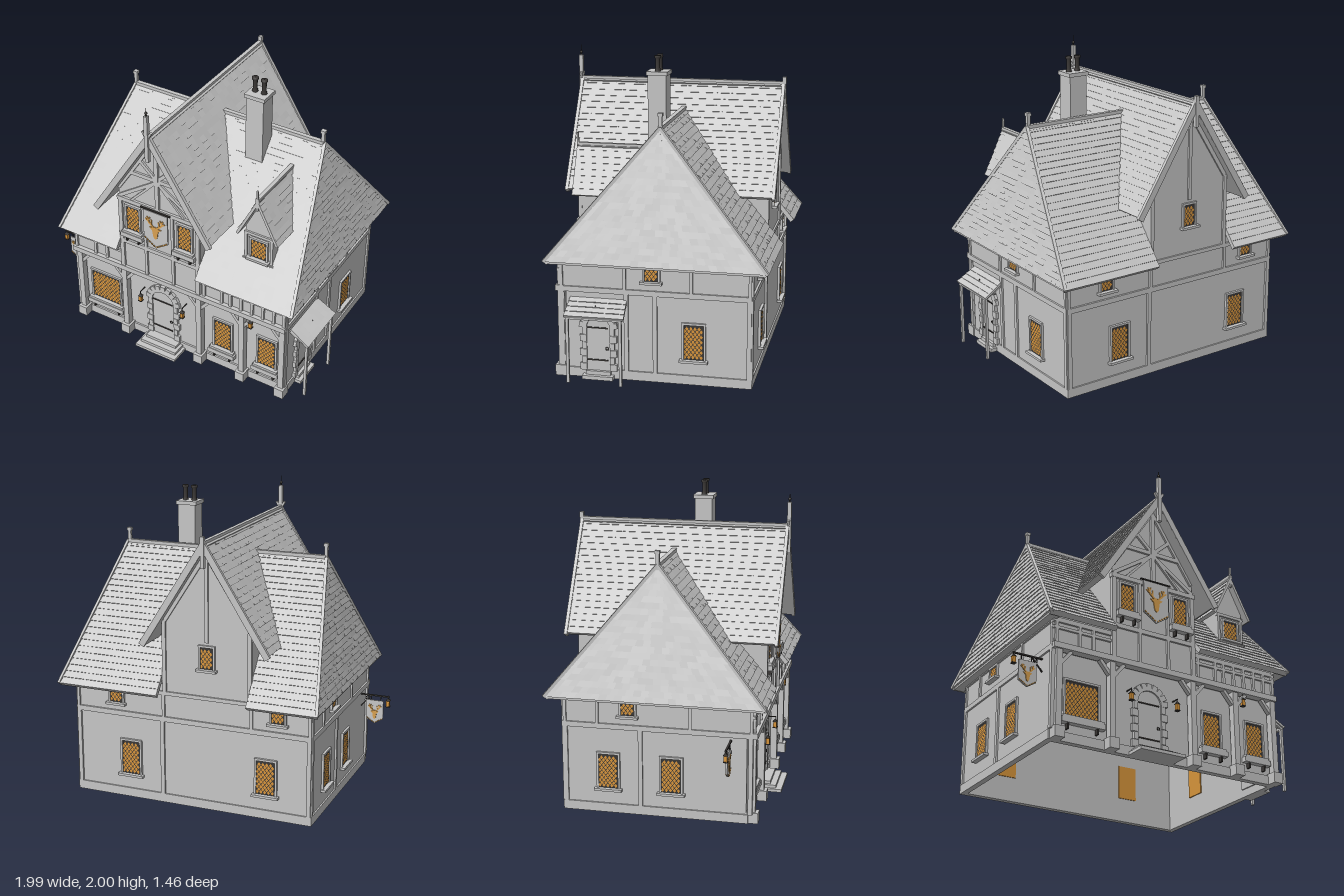
import * as THREE from 'three';

const mat = (name, color, side = THREE.FrontSide) => {
  const m = new THREE.MeshStandardMaterial({ color, side });
  m.name = name;
  return m;
};

export function createModel() {
  const stone = mat('pale grey', 0xc6c6c6), iron = mat('dark iron', 0x3a3735);
  const amber = mat('amber glass', 0xd9963c), gold = mat('gold', 0xd8a050);
  const V = (x, y, z) => new THREE.Vector3(x, y, z);
  const model = new THREE.Group();
  model.name = 'timberedInn';
  let seed = 7;
  const rand = () => (seed = (seed * 16807) % 2147483647) / 2147483647;

  // ---- helpers ----
  const add = (p, name, geo, m = stone, x = 0, y = 0, z = 0) => {
    const o = new THREE.Mesh(geo, m);
    o.name = name;
    o.position.set(x, y, z);
    p.add(o);
    return o;
  };
  const group = (p, name, x = 0, y = 0, z = 0, ry = 0) => {
    const g = new THREE.Group();
    g.name = name;
    g.position.set(x, y, z);
    g.rotation.y = ry;
    p.add(g);
    return g;
  };
  // box given by its limits
  const box = (p, name, x0, x1, y0, y1, z0, z1, m) =>
    add(p, name, new THREE.BoxGeometry(x1 - x0, y1 - y0, z1 - z0), m, (x0 + x1) / 2, (y0 + y1) / 2, (z0 + z1) / 2);
  // flat bar between two points of a wall, standing out by d
  const bar = (p, name, x0, y0, x1, y1, w, d = 0.024, m = stone, z = 0) => {
    const o = add(p, name, new THREE.BoxGeometry(Math.hypot(x1 - x0, y1 - y0), w, d), m, (x0 + x1) / 2, (y0 + y1) / 2, z);
    o.rotation.z = Math.atan2(y1 - y0, x1 - x0);
    return o;
  };
  // beam between two points in space
  const beam = (p, name, a, b, w, h, m = stone) => {
    const o = new THREE.Mesh(new THREE.BoxGeometry(w, h, a.distanceTo(b)), m);
    o.name = name;
    o.position.copy(a).lerp(b, 0.5);
    o.lookAt(b);
    p.add(o);
  };
  const outline = pts => new THREE.Shape(pts.map(q => new THREE.Vector2(q[0], q[1])));
  const extrude = (shape, depth) => new THREE.ExtrudeGeometry(shape, { depth, bevelEnabled: false, curveSegments: 10 });
  const fromQuads = quads => {
    const pos = [];
    for (const [a, b, c, d] of quads) for (const v of [a, b, c, a, c, d]) pos.push(v.x, v.y, v.z);
    const g = new THREE.BufferGeometry();
    g.setAttribute('position', new THREE.Float32BufferAttribute(pos, 3));
    g.computeVertexNormals();
    return g;
  };
  // roof slope: board with rows of lifted tiles; eave left, eave right, ridge right, ridge left
  const slope = (p, name, A, B, C, D, rows, thick = 0.03) => {
    const n = B.clone().sub(A).cross(D.clone().sub(A)).normalize();
    const [a, b, c, d] = [A, B, C, D].map(v => v.clone().addScaledVector(n, -thick));
    add(p, name, fromQuads([[A, B, C, D], [d, c, b, a], [a, b, B, A], [b, c, C, B], [c, d, D, C], [d, a, A, D]]));
    const quads = [];
    for (let i = 0; i < rows; i++) {
      const L0 = A.clone().lerp(D, i / rows), L1 = A.clone().lerp(D, (i + 1) / rows);
      const R0 = B.clone().lerp(C, i / rows), R1 = B.clone().lerp(C, (i + 1) / rows);
      const count = Math.max(1, Math.round(L0.distanceTo(R0) / 0.05));
      for (let k = 0; k < count; k++) {
        const s = k / count, e = (k + 1) / count, lift = 0.004 + 0.004 * rand();
        const q0 = L0.clone().lerp(R0, s), q1 = L0.clone().lerp(R0, e);
        const t0 = q0.clone().addScaledVector(n, lift), t1 = q1.clone().addScaledVector(n, lift);
        const u1 = L1.clone().lerp(R1, e).addScaledVector(n, 0.001), u0 = L1.clone().lerp(R1, s).addScaledVector(n, 0.001);
        quads.push([t0, t1, u1, u0], [q0, q1, t1, t0]);
      }
    }
    add(p, name + 'Tiles', fromQuads(quads));
  };
  // leaded window centred on x, y of a wall
  const windowAt = (wall, x, y, w, h, { inner = false, brackets = false } = {}) => {
    const g = group(wall, 'window', x, y, 0);
    box(g, 'lead', -w / 2, w / 2, -h / 2, h / 2, 0, 0.006, iron);
    const panes = [], cw = 0.026, ch = 0.034;
    for (let r = 0; (r + 2) * ch / 2 <= h; r++)
      for (let px = -w / 2 + cw * (r % 2 ? 1 : 0.5); px + cw / 2 <= w / 2 + 0.001; px += cw) {
        const py = -h / 2 + (r + 1) * ch / 2, a = cw * 0.41, b = ch * 0.41;
        panes.push(outline([[px - a, py], [px, py - b], [px + a, py], [px, py + b]]));
      }
    add(g, 'panes', new THREE.ShapeGeometry(panes), amber, 0, 0, 0.008);
    if (inner) box(g, 'innerPane', -w / 2, w / 2, -h / 2, h / 2, -0.038, -0.03, amber);
    for (const s of [-1, 1]) {
      bar(g, 'jamb', s * w / 2, -h / 2, s * w / 2, h / 2, 0.014, 0.03);
      if (brackets) box(g, 'bracket', s * w * 0.42 - 0.005, s * w * 0.42 + 0.005, -h / 2 - 0.085, -h / 2 - 0.045, 0, 0.03, iron);
    }
    bar(g, 'head', -w / 2 - 0.007, h / 2, w / 2 + 0.007, h / 2, 0.014, 0.03);
    box(g, 'sill', -w / 2 - 0.02, w / 2 + 0.02, -h / 2 - 0.016, -h / 2, 0, 0.035);
    if (brackets) box(g, 'planter', -w / 2 - 0.03, w / 2 + 0.03, -h / 2 - 0.05, -h / 2 - 0.016, 0, 0.04);
  };
  // arched door with stone surround
  const doorAt = (wall, x, r, y0, spring) => {
    const g = group(wall, 'door', x, 0, 0);
    const s = new THREE.Shape();
    s.moveTo(-r, y0); s.lineTo(r, y0); s.lineTo(r, spring);
    s.absarc(0, spring, r, 0, Math.PI, false);
    add(g, 'doorLeaf', extrude(s, 0.05), stone, 0, 0, -0.04);
    for (let i = 0; i < 9; i++) {
      const a = Math.PI * (i + 0.5) / 9, c = Math.cos(a), t = Math.sin(a);
      bar(g, 'archStone', c * r, spring + t * r, c * (r + 0.05), spring + t * (r + 0.05), 0.036, 0.04);
    }
    for (let i = 0; i < 6; i++) for (const m of [-1, 1]) {
      const h = (spring - y0) / 6, w = i % 2 ? 0.03 : 0.045;
      bar(g, 'quoin', m * r, y0 + h * (i + 0.5), m * (r + w), y0 + h * (i + 0.5), h * 0.94, 0.04);
    }
    for (const y of [y0 + 0.07, spring]) bar(g, 'hinge', -r, y, r * 0.85, y, 0.008, 0.006, iron, 0.013);
    add(g, 'handle', new THREE.TorusGeometry(0.009, 0.003, 5, 10), iron, r * 0.75, y0 + 0.15, 0.015);
  };
  const lantern = (p, x, y, z, arm = 0) => {
    const g = group(p, 'lantern', x, y, z);
    box(g, 'lanternBase', -0.014, 0.014, -0.032, -0.026, -0.014, 0.014, iron);
    box(g, 'lanternGlass', -0.011, 0.011, -0.026, 0.014, -0.011, 0.011, amber);
    add(g, 'lanternCap', new THREE.ConeGeometry(0.021, 0.022, 4).rotateY(Math.PI / 4), iron, 0, 0.024, 0);
    box(g, 'hook', -0.002, 0.002, 0.03, 0.05, -0.002, 0.002, iron);
    if (arm) box(g, 'arm', -0.003, 0.003, 0.044, 0.05, -arm, 0.004, iron);
  };
  // shield board with a gilded stag head, centred on its top edge
  const shield = (p, x, y, z, w, h, sides = [1]) => {
    const g = group(p, 'shieldSign', x, y, z), a = w / 2, k = w / 0.18;
    add(g, 'shieldBoard', extrude(outline([[-a, 0], [-a, -h * 0.78], [0, -h], [a, -h * 0.78], [a, 0]]), 0.01), stone, 0, 0, -0.005);
    for (const f of sides) {
      const o = group(g, 'stagOrnament', 0, 0, f * 0.008, f < 0 ? Math.PI : 0);
      const st = (x0, y0, x1, y1, t) => {
        for (const m of [-1, 1]) bar(o, 'gilding', m * x0 * k, y0 * k, m * x1 * k, y1 * k, t * k, 0.005, gold);
      };
      const head = [[0, -0.205], [0.014, -0.19], [0.022, -0.14], [0.045, -0.118], [0.02, -0.115], [0, -0.108], [-0.02, -0.115], [-0.045, -0.118], [-0.022, -0.14], [-0.014, -0.19]];
      add(o, 'stagHead', extrude(outline(head.map(q => [q[0] * k, q[1] * k])), 0.005), gold, 0, 0, -0.0025);
      st(0.012, -0.115, 0.045, -0.085, 0.012); st(0.045, -0.085, 0.058, -0.045, 0.011);
      st(0.03, -0.1, 0.026, -0.06, 0.009); st(0.048, -0.08, 0.072, -0.062, 0.009); st(0.05, -0.07, 0.038, -0.045, 0.008);
      for (const m of [-1, 1]) for (let i = 0; i < 5; i++) {
        const t0 = i / 5, t1 = t0 + 0.13, X = t => m * a * 0.93 * (1 - t), Y = t => -h * (0.76 + 0.21 * t);
        bar(o, 'edgeGilding', X(t0), Y(t0), X(t1), Y(t1), 0.007 * k, 0.005, gold);
      }
    }
  };

  // ---- ground floor shell, open below ----
  const body = group(model, 'walls');
  box(body, 'frontWall', -0.79, 0.85, 0, 0.58, 0.53, 0.56);
  box(body, 'backWall', -0.79, 0.85, 0, 0.58, -0.62, -0.59);
  box(body, 'leftWall', -0.79, -0.76, 0, 0.58, -0.6, 0.54);
  box(body, 'rightWall', 0.82, 0.85, 0, 0.58, -0.6, 0.54);
  box(body, 'upperFloor', -0.79, 0.85, 0.57, 0.82, -0.62, 0.6);
  box(body, 'backPlinth', -0.8, 0.86, 0, 0.06, -0.63, -0.61);
  box(body, 'frontPlinth', -0.8, 0.86, 0, 0.06, 0.55, 0.572);
  box(body, 'leftPlinth', -0.8, -0.78, 0, 0.06, -0.63, 0.572);
  box(body, 'rightPlinth', 0.84, 0.86, 0, 0.06, -0.63, 0.572);
  for (const [a, b] of [[-0.85, -0.78], [0.84, 0.925]]) box(body, 'soffit', a, b, 0.755, 0.775, -0.71, 0.66);
  // tall cross gable block
  add(body, 'gableBlock', extrude(outline([[-0.39, 0.58], [0.22, 0.58], [0.22, 1.25], [-0.085, 1.72], [-0.39, 1.25]]), 1.23), stone, 0, 0, -0.622);

  // ---- roofs ----
  const roof = group(model, 'roof');
  const zr = -0.03, yr = 1.61, ye = 0.77, ym = 1.274, L = [-0.855, -0.744, -0.67], R = [0.93, 0.822, 0.75];
  for (const [s, ze] of [[1, 0.68], [-1, -0.73]]) {
    const zm = ze + (zr - ze) * 0.6;
    const face = (name, lo, hi, ya, za, yb, zb, rows) => {
      const [p, q] = s > 0 ? [0, 1] : [1, 0];
      slope(roof, name, V(lo[p], ya, za), V(lo[q], ya, za), V(hi[q], yb, zb), V(hi[p], yb, zb), rows);
    };
    face('lowerSlope', [L[0], -0.39], [L[1], -0.39], ye, ze, ym, zm, 14);
    face('lowerSlope', [0.225, R[0]], [0.225, R[1]], ye, ze, ym, zm, 14);
    face('upperSlope', [L[1], R[1]], [L[2], R[2]], ym, zm, yr, zr, 10);
    for (const E of [L, R]) beam(roof, 'hipBoard', V(E[0], ye, ze), V(E[2], yr, zr), 0.02, 0.02);
  }
  slope(roof, 'leftHip', V(L[0], ye, -0.73), V(L[0], ye, 0.68), V(L[2], yr, zr), V(L[2], yr, zr), 22, 0.02);
  slope(roof, 'rightHip', V(R[0], ye, 0.68), V(R[0], ye, -0.73), V(R[2], yr, zr), V(R[2], yr, zr), 22, 0.02);
  beam(roof, 'mainRidge', V(L[2], yr, zr), V(R[2], yr, zr), 0.03, 0.022);
  for (const x of [-0.67, 0.74]) {
    box(roof, 'ridgePost', x - 0.011, x + 0.011, 1.58, 1.69, zr - 0.011, zr + 0.011);
    box(roof, 'ridgePostCap', x - 0.015, x + 0.015, 1.68, 1.7, zr - 0.015, zr + 0.015);
  }
  // roof with its ridge running front to back
  const gableRoof = (name, xc, half, y0, y1, zf, zb, rows, thick) => {
    const g = group(roof, name);
    for (const s of [-1, 1]) {
      const [a, b] = s < 0 ? [zb, zf] : [zf, zb], x = xc + s * half;
      slope(g, name + 'Slope', V(x, y0, a), V(x, y0, b), V(xc, y1, b), V(xc, y1, a), rows, thick);
    }
    beam(g, name + 'Ridge', V(xc, y1, zb), V(xc, y1, zf), 0.026, 0.02);
    return g;
  };
  const cross = gableRoof('crossRoof', -0.087, 0.432, 1.1, 1.78, 0.7, -0.685, 18, 0.03);
  for (const z of [0.693, -0.678]) for (const s of [-1, 1])
    beam(cross, 'bargeBoard', V(-0.087 + s * 0.43, 1.085, z), V(-0.087, 1.765, z), 0.022, 0.042);
  box(cross, 'frontFinial', -0.1, -0.074, 1.6, 1.93, 0.69, 0.716);
  add(cross, 'finialSpike', new THREE.ConeGeometry(0.008, 0.1, 8), iron, -0.087, 1.95, 0.703);
  add(cross, 'finialBall', new THREE.SphereGeometry(0.01, 8, 6), iron, -0.087, 1.95, 0.703);
  box(cross, 'backFinial', -0.1, -0.074, 1.62, 1.82, -0.695, -0.67);
  for (const s of [-1, 1]) beam(cross, 'finialBrace', V(-0.087, 1.76, 0.7), V(-0.087 + s * 0.03, 1.815, 0.7), 0.02, 0.014);

  // ---- dormer ----
  gableRoof('dormerRoof', 0.595, 0.15, 1.16, 1.46, 0.54, 0.1, 8, 0.018);
  const dormer = group(model, 'dormer', 0, 0, 0.5);
  add(dormer, 'dormerBody', extrude(outline([[0.495, 0.95], [0.695, 0.95], [0.695, 1.21], [0.595, 1.41], [0.495, 1.21]]), 0.4), stone, 0, 0, -0.4);
  windowAt(dormer, 0.595, 1.06, 0.12, 0.145);
  for (const x of [0.503, 0.687]) bar(dormer, 'dormerPost', x, 0.97, x, 1.17, 0.018);
  bar(dormer, 'dormerBeam', 0.49, 1.165, 0.7, 1.165, 0.02);
  bar(dormer, 'dormerSill', 0.485, 0.965, 0.705, 0.965, 0.016, 0.04);
  box(dormer, 'dormerFinial', 0.589, 0.601, 1.38, 1.53, 0.03, 0.042);

  // ---- chimney ----
  const chimney = group(model, 'chimney', 0.333, 0, 0.07);
  box(chimney, 'stack', -0.062, 0.062, 1.3, 1.875, -0.06, 0.06);
  box(chimney, 'stackCap', -0.073, 0.073, 1.875, 1.9, -0.069, 0.069);
  const pot = [[0.02, 0], [0.015, 0.02], [0.015, 0.08], [0.021, 0.085], [0.021, 0.1], [0, 0.1]].map(q => new THREE.Vector2(...q));
  for (const x of [-0.032, 0.032]) add(chimney, 'chimneyPot', new THREE.LatheGeometry(pot, 14), iron, x, 1.9, 0);

  // ---- front: ground floor ----
  const front = group(model, 'frontGround', 0, 0, 0.56);
  windowAt(front, -0.575, 0.283, 0.24, 0.235, { inner: true, brackets: true });
  for (const x of [0.37, 0.705]) windowAt(front, x, 0.283, 0.14, 0.235, { inner: true, brackets: true });
  doorAt(front, -0.1, 0.085, 0.06, 0.36);
  [0.15, 0.11, 0.07].forEach((d, i) => box(front, 'step', -0.25 + i * 0.02, 0.07 - i * 0.02, i * 0.02, i * 0.02 + 0.02, 0, d));
  const posts = [-0.755, -0.385, 0.207, 0.535, 0.835];
  posts.forEach((x, i) => {
    box(front, 'postBase', x - 0.034, x + 0.034, 0, 0.07, 0, 0.075);
    box(front, 'post', x - 0.02, x + 0.02, 0.07, 0.57, 0.01, 0.055);
    for (const s of [-1, 1]) if (!(i === 0 && s < 0) && !(i === 4 && s > 0))
      bar(front, 'postBrace', x + s * 0.015, 0.48, x + s * 0.085, 0.565, 0.022, 0.03, stone, 0.035);
  });
  for (const x of [-0.255, 0.08]) lantern(front, x, 0.37, 0.055, 0.055);
  lantern(front, 0.6, 0.515, 0.045);

  // ---- front: upper floor timbers and bay ----
  const upper = group(model, 'frontUpper', 0, 0, 0.602);
  box(upper, 'floorBeam', -0.8, 0.86, 0.565, 0.602, -0.03, 0.026);
  for (const [a, b] of [[-0.8, -0.39], [0.22, 0.86]]) {
    bar(upper, 'rail', a, 0.705, b, 0.705, 0.018);
    bar(upper, 'wallPlate', a, 0.755, b, 0.755, 0.03);
  }
  for (const x of [-0.775, -0.615, -0.52, 0.25, 0.385, 0.45, 0.53, 0.61, 0.69, 0.77, 0.845])
    bar(upper, 'stud', x, 0.6, x, 0.76, 0.02);
  const bay = group(model, 'frontGable', 0, 0, 0.61);
  for (const x of [-0.38, 0.21]) bar(bay, 'bayPost', x, 0.6, x, 1.16, 0.03);
  for (const x of [-0.19, 0.02]) bar(bay, 'bayStud', x, 0.6, x, 1.16, 0.02);
  bar(bay, 'bayRail', -0.39, 0.82, 0.22, 0.82, 0.03);
  bar(bay, 'bayHead', -0.4, 1.165, 0.23, 1.165, 0.03, 0.03);
  bar(bay, 'kingPost', -0.087, 1.17, -0.087, 1.7, 0.028, 0.03);
  bar(bay, 'collar', -0.3, 1.4, 0.126, 1.4, 0.028);
  for (const s of [-1, 1]) {
    const X = d => -0.087 + s * d;
    bar(bay, 'lowerBrace', X(0.3), 1.18, X(0.01), 1.38, 0.024);
    bar(bay, 'innerBrace', X(0.2), 1.18, X(0.01), 1.38, 0.016);
    bar(bay, 'upperBrace', X(0.01), 1.41, X(0.15), 1.54, 0.024);
    bar(bay, 'rafter', X(0.3), 1.25, X(0.0), 1.71, 0.03);
  }
  for (const x of [-0.283, 0.115]) windowAt(bay, x, 1.027, 0.108, 0.195, { brackets: true });
  shield(bay, -0.087, 1.17, 0.035, 0.185, 0.285);
  bar(bay, 'signRod', -0.2, 1.178, 0.025, 1.178, 0.008, 0.012, iron, 0.035);

  // ---- timbers and windows on the other walls ----
  const timberWall = (name, x, z, ry, x0, x1, posts, studs) => {
    const g = group(model, name, x, 0, z, ry);
    bar(g, 'floorBeam', x0, 0.582, x1, 0.582, 0.034);
    bar(g, 'wallPlate', x0, 0.76, x1, 0.76, 0.025);
    for (const p of [x0 + 0.015, x1 - 0.015, ...posts]) bar(g, 'wallPost', p, 0.06, p, 0.58, 0.028);
    for (const p of [x0 + 0.012, x1 - 0.012, ...studs]) bar(g, 'wallStud', p, 0.59, p, 0.77, 0.02);
    return g;
  };
  const right = timberWall('rightSide', 0.85, 0, Math.PI / 2, -0.6, 0.625, [-0.17, 0.015], [-0.18, 0.245]);
  windowAt(right, 0.262, 0.283, 0.14, 0.235, { inner: true });
  windowAt(right, -0.007, 0.703, 0.1, 0.085);
  const left = timberWall('leftSide', -0.79, 0, -Math.PI / 2, -0.625, 0.6, [-0.12], [-0.4, 0.2]);
  for (const x of [-0.33, 0.08]) windowAt(left, x, 0.283, 0.14, 0.235, { inner: true });
  windowAt(left, -0.2, 0.703, 0.1, 0.085);
  const back = timberWall('backSide', 0, -0.622, Math.PI, -0.855, 0.795, [-0.23], [-0.22, 0.39]);
  for (const x of [-0.46, 0.49]) windowAt(back, x, 0.283, 0.14, 0.235, { inner: true });
  for (const x of [-0.56, 0.57]) windowAt(back, x, 0.7, 0.1, 0.09);
  windowAt(back, 0.087, 1.03, 0.1, 0.15);
  for (const x of [-0.21, 0.38]) bar(back, 'gablePost', x, 0.77, x, 1.25, 0.026);
  bar(back, 'gableKingPost', 0.087, 1.13, 0.087, 1.7, 0.024);
  for (const s of [-1, 1]) bar(back, 'gableRafter', 0.085 + s * 0.29, 1.25, 0.085, 1.7, 0.03);

  // ---- side door with lean-to porch ----
  const porch = group(right, 'sidePorch');
  doorAt(porch, -0.35, 0.075, 0.05, 0.335);
  box(porch, 'lowStep', -0.45, -0.25, 0, 0.025, 0, 0.055);
  box(porch, 'highStep', -0.43, -0.27, 0.025, 0.05, 0, 0.03);
  slope(porch, 'porchRoof', V(-0.54, 0.445, 0.14), V(-0.155, 0.445, 0.14), V(-0.165, 0.53, 0.005), V(-0.53, 0.53, 0.005), 4, 0.015);
  for (const x of [-0.52, -0.18]) {
    box(porch, 'porchPost', x - 0.009, x + 0.009, 0, 0.44, 0.112, 0.13);
    beam(porch, 'porchRafter', V(x, 0.505, 0), V(x, 0.43, 0.13), 0.016, 0.018);
  }
  bar(porch, 'porchBeam', -0.53, 0.432, -0.17, 0.432, 0.018, 0.018, stone, 0.121);
  lantern(porch, -0.35, 0.455, 0.07);

  // ---- hanging sign on the left ----
  const sign = group(model, 'hangingSign', 0, 0, 0.46);
  bar(sign, 'signArm', -0.99, 0.545, -0.78, 0.545, 0.009, 0.012, iron);
  bar(sign, 'signStay', -0.86, 0.54, -0.79, 0.46, 0.007, 0.008, iron);
  add(sign, 'scroll', new THREE.TorusGeometry(0.02, 0.003, 5, 14), iron, -0.845, 0.522, 0);
  for (const x of [-0.93, -0.85]) bar(sign, 'signHanger', x, 0.51, x, 0.545, 0.005, 0.005, iron);
  shield(sign, -0.89, 0.51, 0, 0.12, 0.168, [1, -1]);
  lantern(sign, -0.983, 0.505, 0);
  return model;
}
